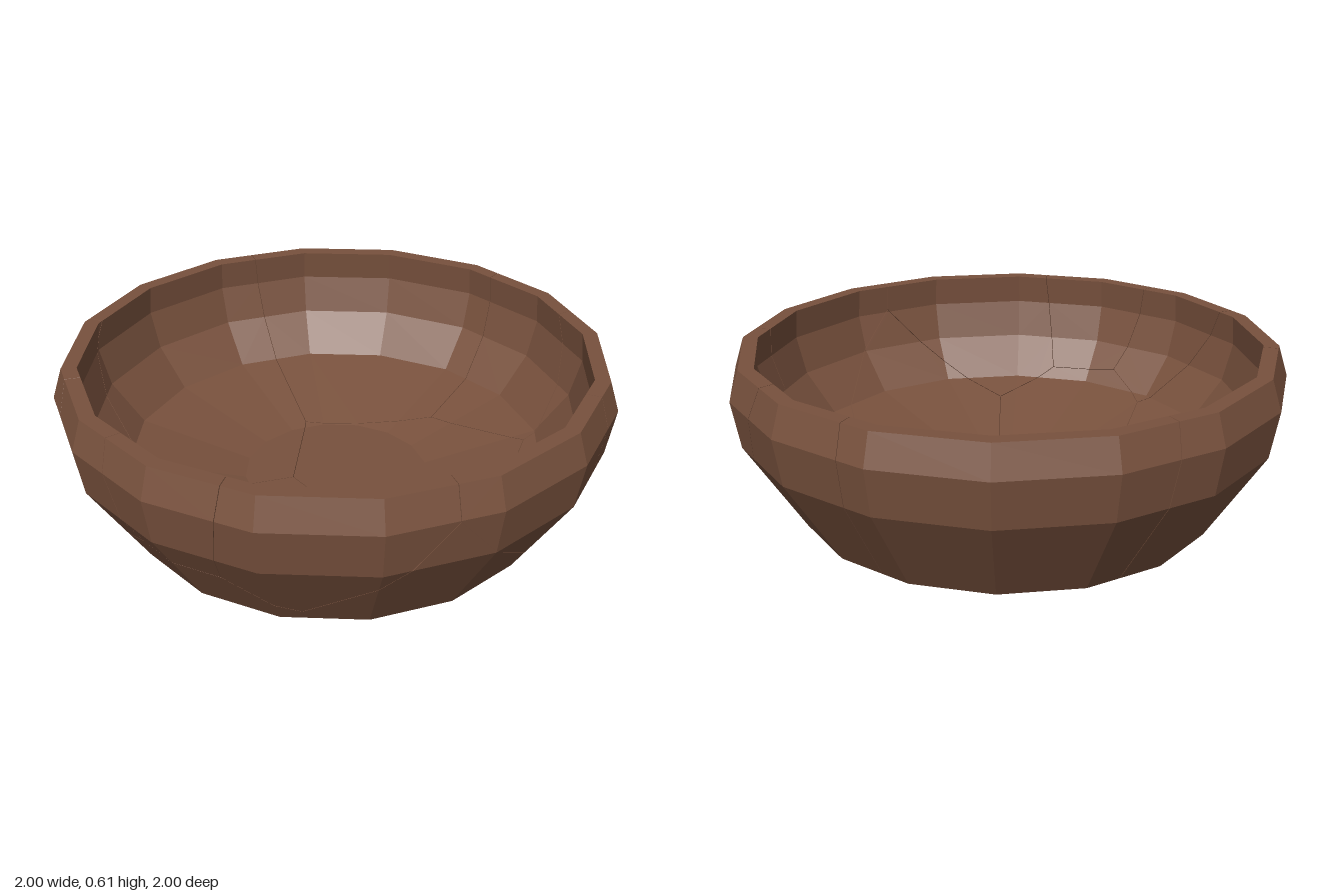
import * as THREE from 'three';

const V = (x, y, z) => new THREE.Vector3(x, y, z);
const SIDES = 16;
const GAP = 0.001; // half width of the cracks

// Profile blocks as [radius, height] corners; "skin" lists the exposed edges.
const BLOCKS = [
  { pts: [[0.965, 0.61], [1, 0.5], [0.92, 0.5], [0.91, 0.61]], skin: [0, 2, 3] },    // rim
  { pts: [[1, 0.5], [0.97, 0.33], [0.88, 0.36], [0.92, 0.5]], skin: [0, 2] },        // upper wall
  { pts: [[0.97, 0.33], [0.76, 0], [0.76, 0.215], [0.88, 0.36]], skin: [0, 2] },     // lower wall
  { pts: [[0.76, 0], [0.34, 0], [0.34, 0.11], [0.76, 0.215]], skin: [0, 2] },        // sloping floor
  { pts: [[0.34, 0], [0, 0], [0, 0.11], [0.34, 0.11]], skin: [0, 2] },               // floor centre
];

// One seed point per shard; each shard is the region nearest its seed.
const SEEDS = {
  centreShard: [0.24, 0.1, -0.3],
  backShard: [-0.02, 0.2, -0.67],
  leftwardFloorShard: [-0.64, 0.1, 0.23],
  frontCornerShard: [-0.556, 0.3, 0.687],
  frontNarrowShard: [-0.38, 0.42, 0.83],
  frontFloorShard: [-0.044, 0, 0.675],
  frontRimShard: [0.02, 0.5, 0.95],
  sideFloorShard: [0.627, 0.05, 0.352],
  frontSideRimShard: [0.42, 0.45, 0.8],
  sideRimShard: [0.95, 0.45, 0],
  backSideShard: [0.24, 0.2, -0.67],
  backSideRimShard: [0.82, 0.4, -0.45],
};

// Area vector of a polygon
function areaVector(poly) {
  const n = V(0, 0, 0);
  for (let i = 1; i < poly.length - 1; i++) {
    n.add(poly[i].clone().sub(poly[0]).cross(poly[i + 1].clone().sub(poly[0])));
  }
  return n;
}

// Keeps the part of a polygon behind a plane
function clip(poly, plane) {
  const out = [];
  poly.forEach((a, i) => {
    const b = poly[(i + 1) % poly.length];
    const da = plane.distanceToPoint(a), db = plane.distanceToPoint(b);
    if (da <= 1e-7) out.push(a);
    if ((da > 1e-7) !== (db > 1e-7)) out.push(a.clone().lerp(b, da / (da - db)));
  });
  return out;
}
const clipAll = (poly, planes) => planes.reduce((p, plane) => (p.length ? clip(p, plane) : p), poly);

// Convex wedge of one block in one sector: bounding planes and exposed faces
function makeWedge(block, s) {
  const at = ([r, y], k) => {
    const a = ((s + k) / SIDES) * Math.PI * 2;
    return V(r * Math.cos(a), y, r * Math.sin(a));
  };
  const near = block.pts.map((p) => at(p, 0));
  const far = block.pts.map((p) => at(p, 1));
  const centre = [...near, ...far].reduce((c, p) => c.add(p), V(0, 0, 0)).divideScalar(8);
  const faces = near.map((p, i) => [p, near[(i + 1) % 4], far[(i + 1) % 4], far[i]]);
  faces.push(near, far);
  const planes = [], skin = [];
  faces.forEach((face, i) => {
    const n = areaVector(face);
    if (n.length() < 1e-8) return;
    const mid = face.reduce((c, p) => c.add(p), V(0, 0, 0)).divideScalar(face.length);
    if (n.dot(mid.clone().sub(centre)) < 0) {
      n.negate();
      face = face.slice().reverse();
    }
    planes.push(new THREE.Plane().setFromNormalAndCoplanarPoint(n.normalize(), mid));
    if (block.skin.includes(i)) skin.push(face);
  });
  return { planes, skin };
}

// Large square lying on a plane, facing along its normal
function planeSquare(plane) {
  const c = plane.coplanarPoint(V(0, 0, 0));
  const u = V(0.31, 0.87, 0.38).cross(plane.normal).normalize();
  const v = plane.normal.clone().cross(u);
  return [[-1, -1], [1, -1], [1, 1], [-1, 1]].map(([a, b]) =>
    c.clone().addScaledVector(u, a * 4).addScaledVector(v, b * 4));
}

// Flat-faced geometry from convex polygons
function polygonsToGeometry(polys) {
  const pos = [], nor = [];
  for (const poly of polys) {
    const n = areaVector(poly);
    if (n.length() < 1e-8) continue;
    n.normalize();
    for (let i = 1; i < poly.length - 1; i++) {
      for (const p of [poly[0], poly[i], poly[i + 1]]) {
        pos.push(p.x, p.y, p.z);
        nor.push(n.x, n.y, n.z);
      }
    }
  }
  const g = new THREE.BufferGeometry();
  g.setAttribute('position', new THREE.Float32BufferAttribute(pos, 3));
  g.setAttribute('normal', new THREE.Float32BufferAttribute(nor, 3));
  return g;
}

export function createModel() {
  const bowl = new THREE.Group();
  bowl.name = 'crackedBowl';
  const clay = new THREE.MeshStandardMaterial({ color: 0x78513d });
  clay.name = 'brown clay';

  const wedges = [];
  for (const block of BLOCKS) {
    for (let s = 0; s < SIDES; s++) wedges.push(makeWedge(block, s));
  }
  const seeds = Object.entries(SEEDS).map(([name, p]) => ({ name, p: V(...p) }));

  for (const { name, p } of seeds) {
    // Planes halfway to every other seed bound this shard
    const cell = seeds.filter((o) => o.p !== p).map((o) => {
      const n = o.p.clone().sub(p).normalize();
      const mid = o.p.clone().add(p).multiplyScalar(0.5).addScaledVector(n, -GAP);
      return new THREE.Plane().setFromNormalAndCoplanarPoint(n, mid);
    });
    const polys = [];
    for (const { planes, skin } of wedges) {
      for (const face of skin) polys.push(clipAll(face, cell));
      // Broken inner faces along the cracks
      for (const cut of cell) {
        const others = cell.filter((c) => c !== cut);
        polys.push(clipAll(planeSquare(cut), [...planes, ...others]));
      }
    }
    const mesh = new THREE.Mesh(polygonsToGeometry(polys.filter((q) => q.length > 2)), clay);
    mesh.name = name;
    bowl.add(mesh);
  }
  return bowl;
}
